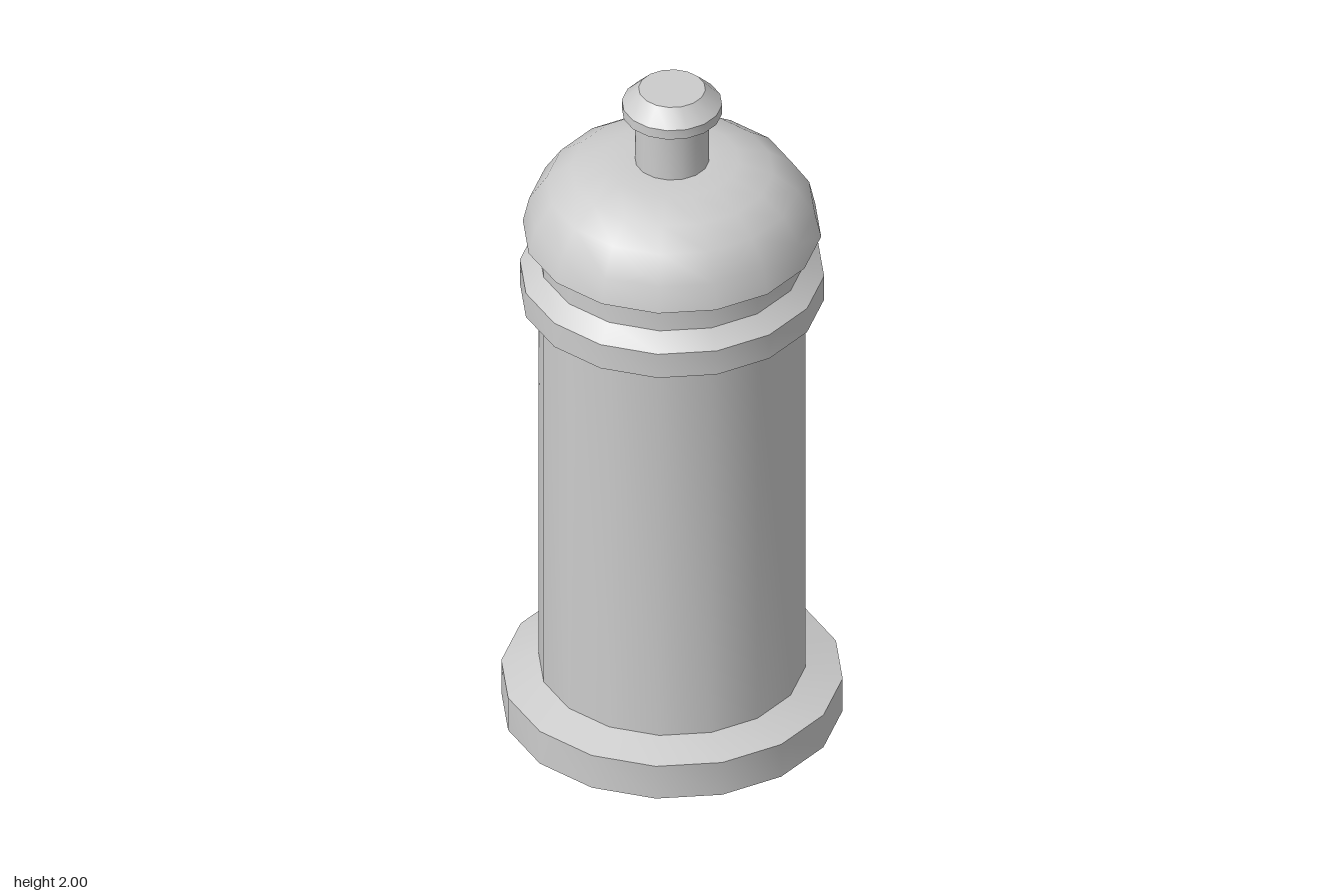
import * as THREE from 'three';
import { toCreasedNormals } from 'three/addons/utils/BufferGeometryUtils.js';

const SIDES = 16;

// Turned part: profile of [radius, height] pairs from bottom to top, with sharp rims
function turned(name, profile, material) {
  const points = profile.map(([r, y]) => new THREE.Vector2(r, y));
  const lathe = new THREE.LatheGeometry(points, SIDES);
  const mesh = new THREE.Mesh(toCreasedNormals(lathe, 0.56), material);
  mesh.name = name;
  return mesh;
}

export function createModel() {
  const group = new THREE.Group();
  group.name = 'bollard';
  const grey = new THREE.MeshStandardMaterial({ color: 0xcccccc });

  const parts = {
    // Wide foot with a shallow chamfer up to the post
    base: [[0, 0], [0.46, 0], [0.46, 0.105], [0.36, 0.137]],
    // Straight post up to the collar
    post: [[0.36, 0.137], [0.36, 1.338]],
    // Raised ring with a sloped top
    collar: [[0.36, 1.338], [0.41, 1.338], [0.41, 1.415], [0.36, 1.457]],
    neck: [[0.36, 1.457], [0.36, 1.543]],
    // Overhanging rounded cap
    dome: [[0.36, 1.543], [0.402, 1.543], [0.385, 1.617], [0.337, 1.69],
      [0.272, 1.738], [0.18, 1.768], [0.1, 1.77]],
    // Finial on top
    knobStem: [[0.1, 1.77], [0.1, 1.926]],
    knobCap: [[0.1, 1.926], [0.135, 1.926], [0.135, 1.955], [0.09, 2], [0, 2]],
  };
  for (const [name, profile] of Object.entries(parts)) {
    group.add(turned(name, profile, grey));
  }
  return group;
}
